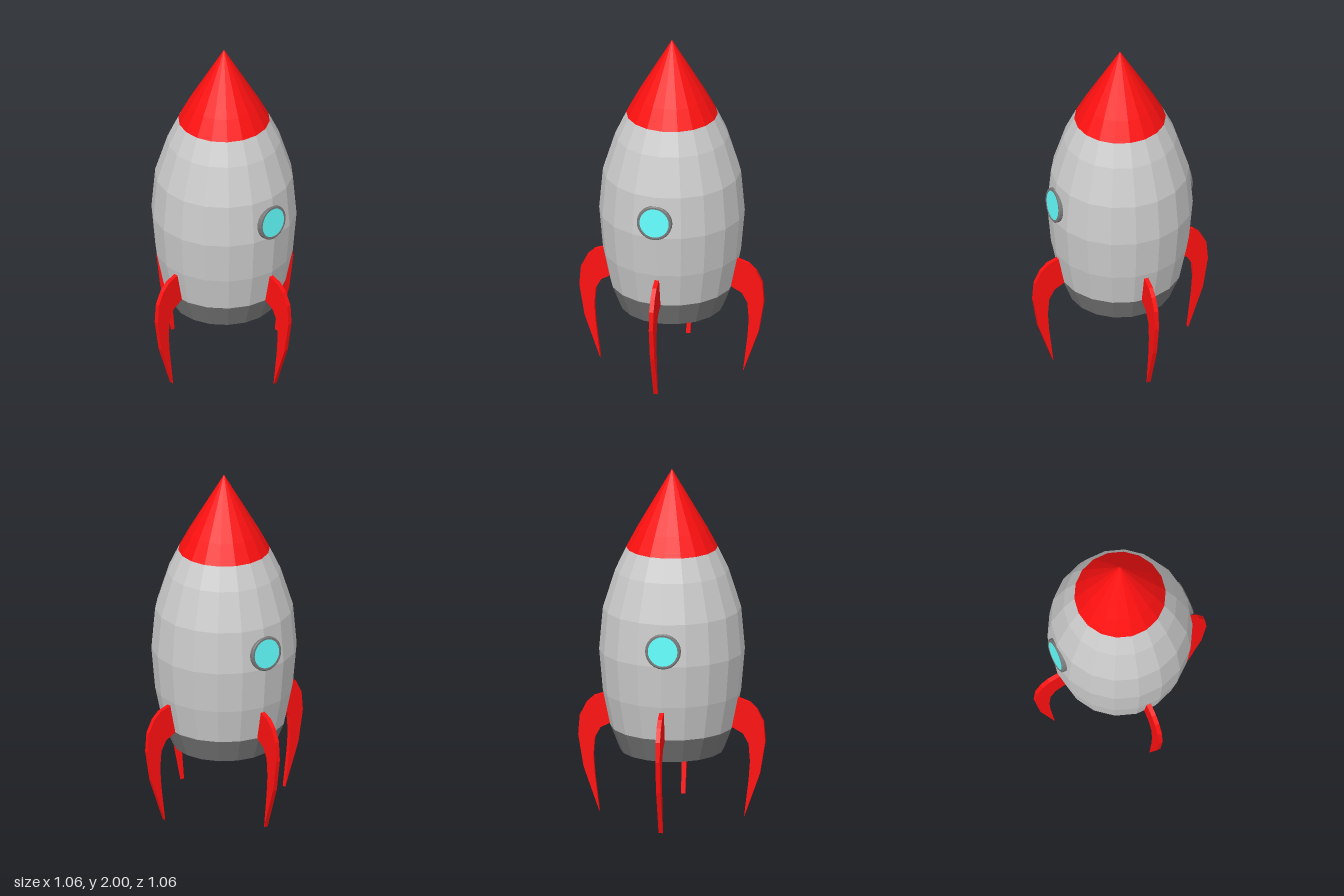
import * as THREE from 'three';

const SIDES = 18;
const paint = (color) => new THREE.MeshStandardMaterial({ color, flatShading: true });
const points = (list) => list.map(([x, y]) => new THREE.Vector2(x, y));

export function createModel() {
  const model = new THREE.Group();
  model.name = 'rocket';

  const hullPaint = paint(0xbebebe);
  const darkPaint = paint(0x787878);
  const redPaint = paint(0xff1010);
  const glassPaint = paint(0x62fcfc);

  const add = (parent, name, geometry, material) => {
    const mesh = new THREE.Mesh(geometry, material);
    mesh.name = name;
    parent.add(mesh);
    return mesh;
  };
  // Faceted shell of revolution with flat faces towards front and back
  const shell = (profile) => new THREE.LatheGeometry(points(profile), SIDES, Math.PI / SIDES);

  // Body: closed dark base, grey hull, red nose
  add(model, 'base', shell([[0, 0.38], [0.29, 0.38], [0.345, 0.52]]), darkPaint);
  add(model, 'hull', shell([
    [0.345, 0.52], [0.386, 0.72], [0.407, 0.96], [0.386, 1.2], [0.317, 1.42], [0.256, 1.55],
  ]), hullPaint);
  add(model, 'noseCone', shell([[0.256, 1.55], [0.198, 1.66], [0, 2]]), redPaint);

  // Fins: one curved blade repeated around the body
  const blade = new THREE.Shape(points([
    [0.33, 0.69], [0.375, 0.69], [0.44, 0.667], [0.482, 0.628], [0.519, 0.554], [0.528, 0.442],
    [0.498, 0.257], [0.408, 0], [0.434, 0.215], [0.442, 0.326], [0.434, 0.427],
    [0.402, 0.485], [0.344, 0.517], [0.31, 0.52],
  ]));
  const finGeometry = new THREE.ExtrudeGeometry(blade, { depth: 0.025, bevelEnabled: false });
  finGeometry.translate(0, 0, -0.0125);
  ['leftFin', 'backFin', 'rightFin', 'frontFin'].forEach((name, i) => {
    add(model, name, finGeometry, redPaint).rotation.y = i * Math.PI / 2;
  });

  // Portholes: bevelled ring and glass, tilted to follow the hull
  const ringGeometry = new THREE.LatheGeometry(points([
    [0.1, -0.025], [0.1, 0.003], [0.094, 0.008], [0.084, 0.008], [0.084, -0.005],
  ]), 24);
  const glassGeometry = new THREE.CylinderGeometry(0.085, 0.085, 0.02, 24);
  for (const side of [1, -1]) {
    const porthole = new THREE.Group();
    porthole.name = side > 0 ? 'leftPorthole' : 'rightPorthole';
    add(porthole, 'ring', ringGeometry, darkPaint);
    add(porthole, 'glass', glassGeometry, glassPaint).position.y = -0.004;
    porthole.position.set(side * 0.398, 1.05, 0.01);
    porthole.rotation.z = -side * (Math.PI / 2 - 0.087);
    model.add(porthole);
  }
  return model;
}
